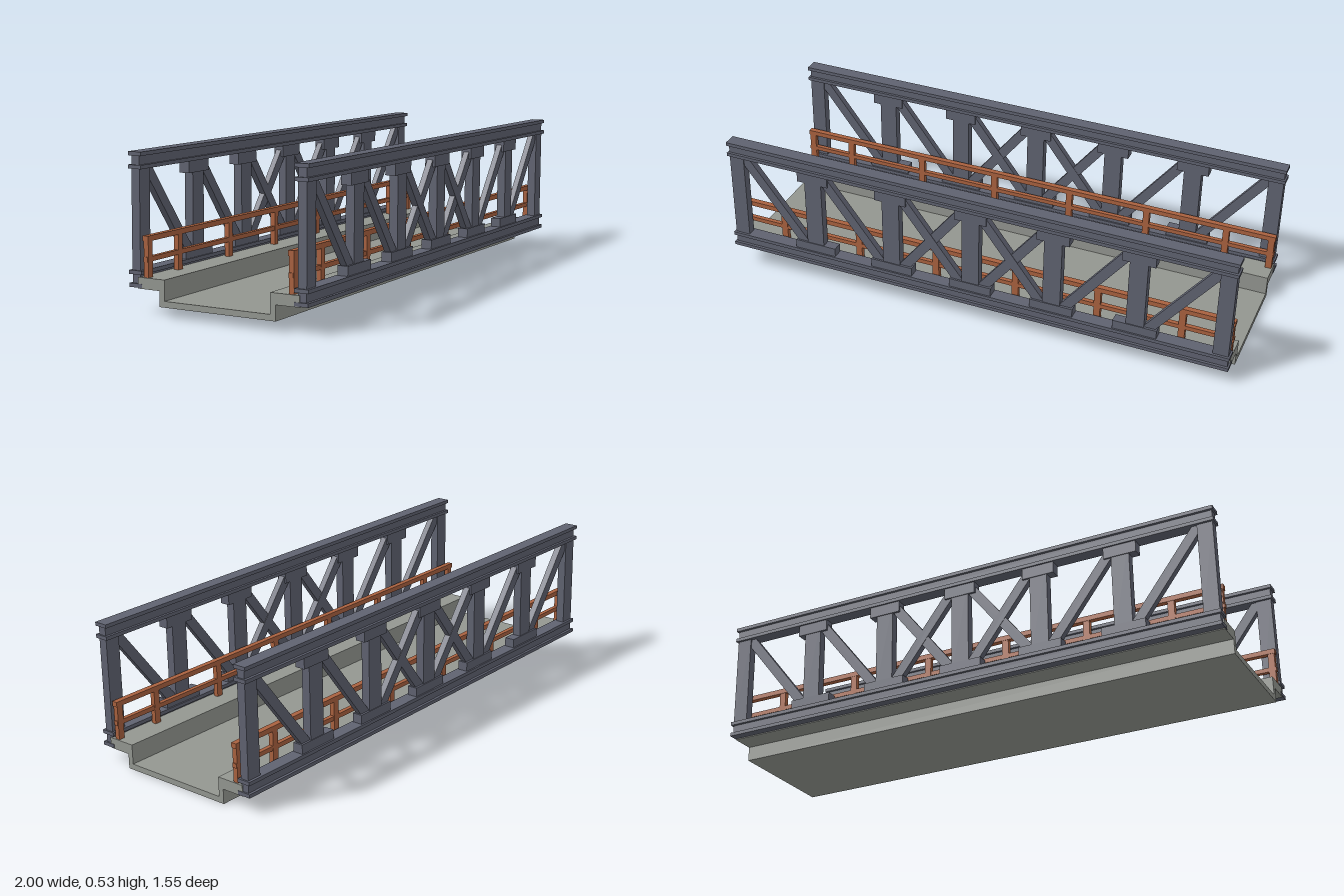
import * as THREE from 'three';

const steel = new THREE.MeshStandardMaterial({ name: 'slate steel', color: 0x5f6270 });
const concrete = new THREE.MeshStandardMaterial({ name: 'grey concrete', color: 0x939690 });
const rust = new THREE.MeshStandardMaterial({ name: 'rust railing', color: 0xa9613f });

const HALF = 0.958;   // half length of the bridge
const PITCH = 0.308;  // truss panel length
const BOTTOM = 0.073, TOP = 0.518, CHORD = 0.056;

function box(parent, name, mat, size, pos) {
  const mesh = new THREE.Mesh(new THREE.BoxGeometry(...size), mat);
  mesh.name = name;
  mesh.position.set(...pos);
  parent.add(mesh);
  return mesh;
}

// I-beam running the full length, from height y upward
function chord(parent, name, y) {
  const g = new THREE.Group();
  g.name = name;
  const t = 0.013;
  box(g, 'lowerFlange', steel, [2 * HALF, t, 0.05], [0, y + t / 2, 0]);
  box(g, 'web', steel, [2 * HALF - 0.012, CHORD - 2 * t, 0.03], [0, y + CHORD / 2, 0]);
  box(g, 'upperFlange', steel, [2 * HALF, t, 0.05], [0, y + CHORD - t / 2, 0]);
  parent.add(g);
}

// Sloping bar between two points in the truss plane
function diagonal(parent, x0, y0, x1, y1, depth) {
  const bar = box(parent, 'diagonal', steel,
    [Math.hypot(x1 - x0, y1 - y0), 0.036, depth], [(x0 + x1) / 2, (y0 + y1) / 2, 0]);
  bar.rotation.z = Math.atan2(y1 - y0, x1 - x0);
}

function makeTruss() {
  const g = new THREE.Group();
  const lo = BOTTOM + CHORD, hi = TOP - CHORD, mid = (lo + hi) / 2;
  chord(g, 'bottomChord', BOTTOM);
  chord(g, 'topChord', hi);
  for (let i = -3; i <= 3; i++) {
    const end = Math.abs(i) === 3;
    box(g, 'post', steel, [end ? 0.056 : 0.066, hi - lo + 0.01, 0.032], [i * PITCH, mid, 0]);
    if (end) continue;
    // Joint plates at both ends of each inner post
    box(g, 'topGusset', steel, [0.12, 0.042, 0.038], [i * PITCH, hi - 0.02, 0]);
    box(g, 'bottomGusset', steel, [0.16, 0.034, 0.038], [i * PITCH, lo + 0.016, 0]);
  }
  // Diagonals lean towards the middle; the two central panels are crossed
  for (let i = -3; i < 3; i++) {
    const a = i * PITCH + 0.025, b = (i + 1) * PITCH - 0.025;
    const crossed = i === -1 || i === 0;
    if (i < 0 || crossed) diagonal(g, a, hi, b, lo, 0.024);
    if (i >= 0 || crossed) diagonal(g, a, lo, b, hi, 0.021);
  }
  return g;
}

function makeRailing() {
  const g = new THREE.Group();
  box(g, 'topRail', rust, [2 * HALF - 0.006, 0.018, 0.021], [0, 0.237, 0]);
  box(g, 'midRail', rust, [2 * HALF - 0.006, 0.016, 0.016], [0, 0.168, 0]);
  const posts = [-0.94, 0.94];
  for (let i = -3; i < 3; i++) posts.push((i + 0.5) * PITCH);
  for (const x of posts) box(g, 'railPost', rust, [0.024, 0.13, 0.018], [x, 0.17, 0]);
  return g;
}

// Thin trough-shaped deck, extruded along the bridge
function makeDeck() {
  const half = [[0.22, 0.0173], [0.22, 0.07], [0.305, 0.07], [0.305, 0.108], [0.2, 0.108], [0.2, 0.038]];
  const pts = [...half, ...half.map(([x, y]) => [-x, y]).reverse()];
  const shape = new THREE.Shape(pts.map(([x, y]) => new THREE.Vector2(x, y)));
  const geo = new THREE.ExtrudeGeometry(shape, { depth: 2 * HALF - 0.004, bevelEnabled: false });
  geo.translate(0, 0, -HALF + 0.002);
  geo.rotateY(Math.PI / 2);
  const deck = new THREE.Mesh(geo, concrete);
  deck.name = 'deck';
  return deck;
}

export function createModel() {
  const model = new THREE.Group();
  model.name = 'trussBridge';
  const span = new THREE.Group();
  span.name = 'span';
  // Set diagonally on plan, with a slight fall along its length
  span.rotation.set(0, Math.PI / 6, -0.0178, 'YXZ');
  span.add(makeDeck());
  for (const side of [-1, 1]) {
    const label = side > 0 ? 'front' : 'back';
    const truss = makeTruss();
    truss.name = label + 'Truss';
    truss.position.z = side * 0.313;
    const railing = makeRailing();
    railing.name = label + 'Railing';
    railing.position.z = side * 0.274;
    span.add(truss, railing);
  }
  model.add(span);
  return model;
}
